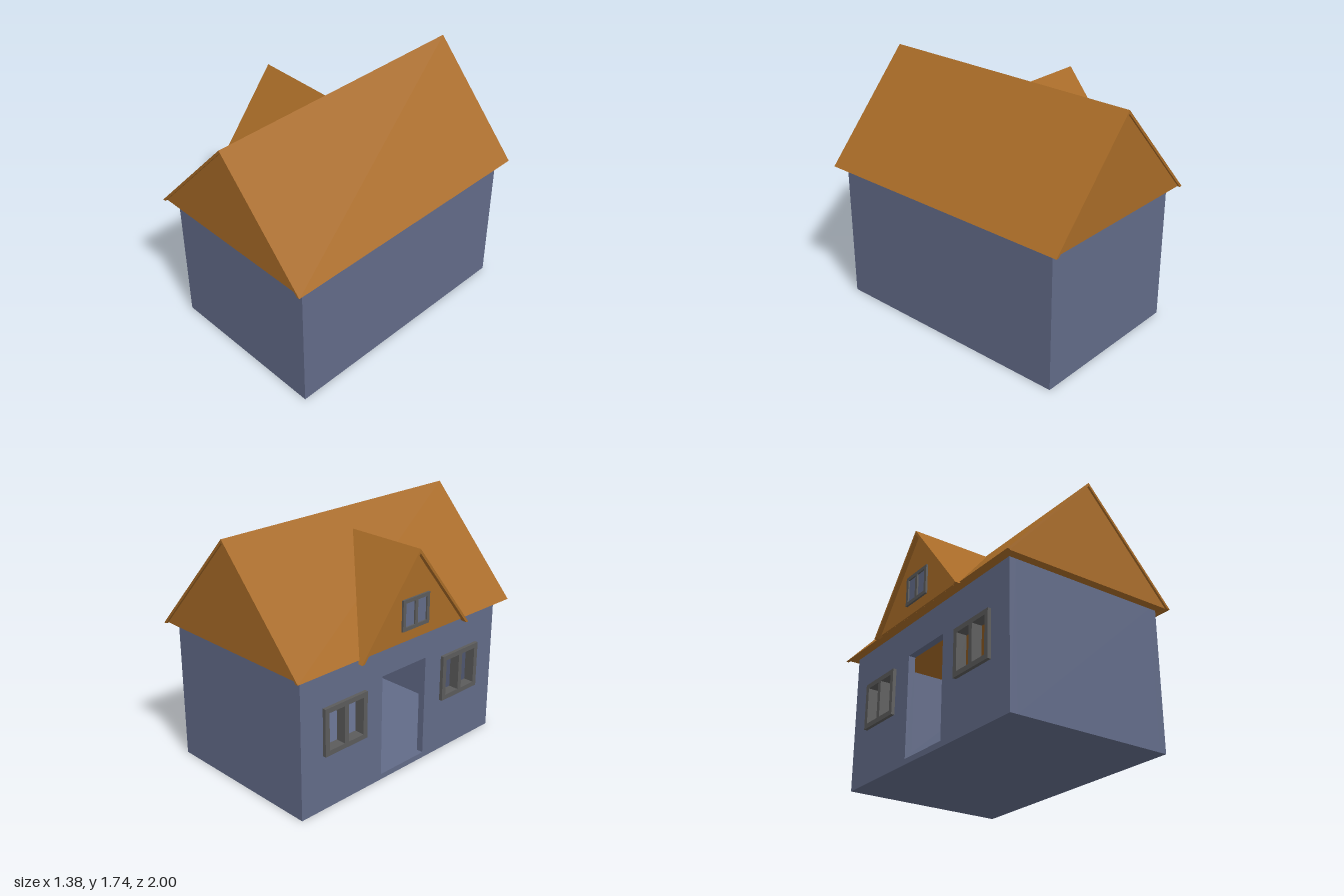
import * as THREE from 'three';

const material = (name, color) => {
  const m = new THREE.MeshStandardMaterial({ color });
  m.name = name;
  return m;
};

export function createModel() {
  const house = new THREE.Group();
  house.name = 'house';
  const wallBlue = material('wall blue', 0x626b88);
  const roofBrown = material('roof brown', 0xa86b27);
  const frameGrey = material('frame grey', 0x5b5b5b);

  const add = (name, geometry, mat) => {
    const mesh = new THREE.Mesh(geometry, mat);
    mesh.name = name;
    house.add(mesh);
    return mesh;
  };
  const box = (name, mat, x0, x1, y0, y1, z0, z1) =>
    add(name, new THREE.BoxGeometry(x1 - x0, y1 - y0, z1 - z0), mat)
      .position.set((x0 + x1) / 2, (y0 + y1) / 2, (z0 + z1) / 2);

  const points = (list) => list.map(([a, b]) => new THREE.Vector2(a, b));
  const rect = (a0, b0, a1, b1) => points([[a0, b0], [a1, b0], [a1, b1], [a0, b1]]);
  const extrude = (outline, holes, depth) => {
    const shape = new THREE.Shape(outline);
    holes.forEach((h) => shape.holes.push(new THREE.Path(h)));
    return new THREE.ExtrudeGeometry(shape, { depth, bevelEnabled: false });
  };
  // Profile drawn in (z, y), pushed out from xInner towards -x
  const extrudeSide = (outline, holes, xInner, xOuter) =>
    extrude(outline, holes, xInner - xOuter).rotateY(-Math.PI / 2).translate(xInner, 0, 0);

  // Hollow body
  const X0 = -0.58, X1 = 0.63, Z = 0.925, T = 0.05, TOP = 1.01;
  box('floor', wallBlue, X0 + T, X1 - T, 0, 0.04, -Z + T, Z - T);
  box('plainSideWall', wallBlue, X1 - T, X1, 0, TOP, -Z, Z);
  for (const s of [-1, 1]) {
    const a = s * Z, b = s * (Z - T);
    box('endWall', wallBlue, X0 + T, X1 - T, 0, TOP, Math.min(a, b), Math.max(a, b));
  }

  // Entrance wall with a doorway and two window openings
  const openings = [rect(-0.21, 0.04, 0.21, 0.77)];
  for (const s of [-1, 1]) openings.push(rect(s * 0.555 - 0.17, 0.41, s * 0.555 + 0.17, 0.715));
  add('entranceWall', extrudeSide(rect(-Z, 0, Z, TOP), openings, X0 + T, X0), wallBlue);

  // Window frames, each with two lights
  const frame = (name, zc, hw, y0, y1, bar, xInner, xOuter) => {
    const lights = [
      rect(zc - hw + bar, y0 + bar, zc - bar / 2, y1 - bar),
      rect(zc + bar / 2, y0 + bar, zc + hw - bar, y1 - bar),
    ];
    add(name, extrudeSide(rect(zc - hw, y0, zc + hw, y1), lights, xInner, xOuter), frameGrey);
  };
  for (const s of [-1, 1]) frame('windowFrame', s * 0.555, 0.185, 0.395, 0.73, 0.035, X0 + T, -0.605);

  // Gable-shaped profiles: thin roof covering and the solid beneath it
  const chevron = (hw, eave, peak, t) => points([
    [-hw, eave], [-hw + t, eave], [0, peak - t * (peak - eave) / hw],
    [hw - t, eave], [hw, eave], [0, peak],
  ]);
  const triangle = (hw, base, peak) => points([[-hw, base], [hw, base], [0, peak]]);

  // Main roof
  const RIDGE_X = 0.02, RIDGE_Y = 1.735, HALF = 0.67, EAVE = 1.0;
  add('mainRoof', extrude(chevron(HALF, EAVE, RIDGE_Y, 0.022), [], 2).translate(RIDGE_X, 0, -1), roofBrown);
  add('mainGables', extrude(triangle(0.645, 1.005, 1.715), [], 1.97).translate(RIDGE_X, 0, -0.985), roofBrown);

  // Dormer: its back end is cut to follow the main roof slope
  const slope = (RIDGE_Y - EAVE) / HALF;
  const dormerPart = (name, outline, xFront) => {
    const g = extrudeSide(outline, [], 0, xFront);
    const p = g.attributes.position;
    for (let i = 0; i < p.count; i++) {
      if (p.getX(i) > xFront / 2) p.setX(i, RIDGE_X - (RIDGE_Y - p.getY(i)) / slope + 0.008);
    }
    g.computeVertexNormals();
    add(name, g, roofBrown);
  };
  dormerPart('dormerRoof', chevron(0.51, 0.98, 1.612, 0.022), -0.69);
  dormerPart('dormerGable', triangle(0.483, 1.003, 1.592), -0.658);

  // Dormer window
  box('dormerPane', wallBlue, -0.661, -0.656, 1.09, 1.285, -0.115, 0.115);
  frame('dormerWindowFrame', 0, 0.125, 1.08, 1.295, 0.025, -0.655, -0.672);

  return house;
}
